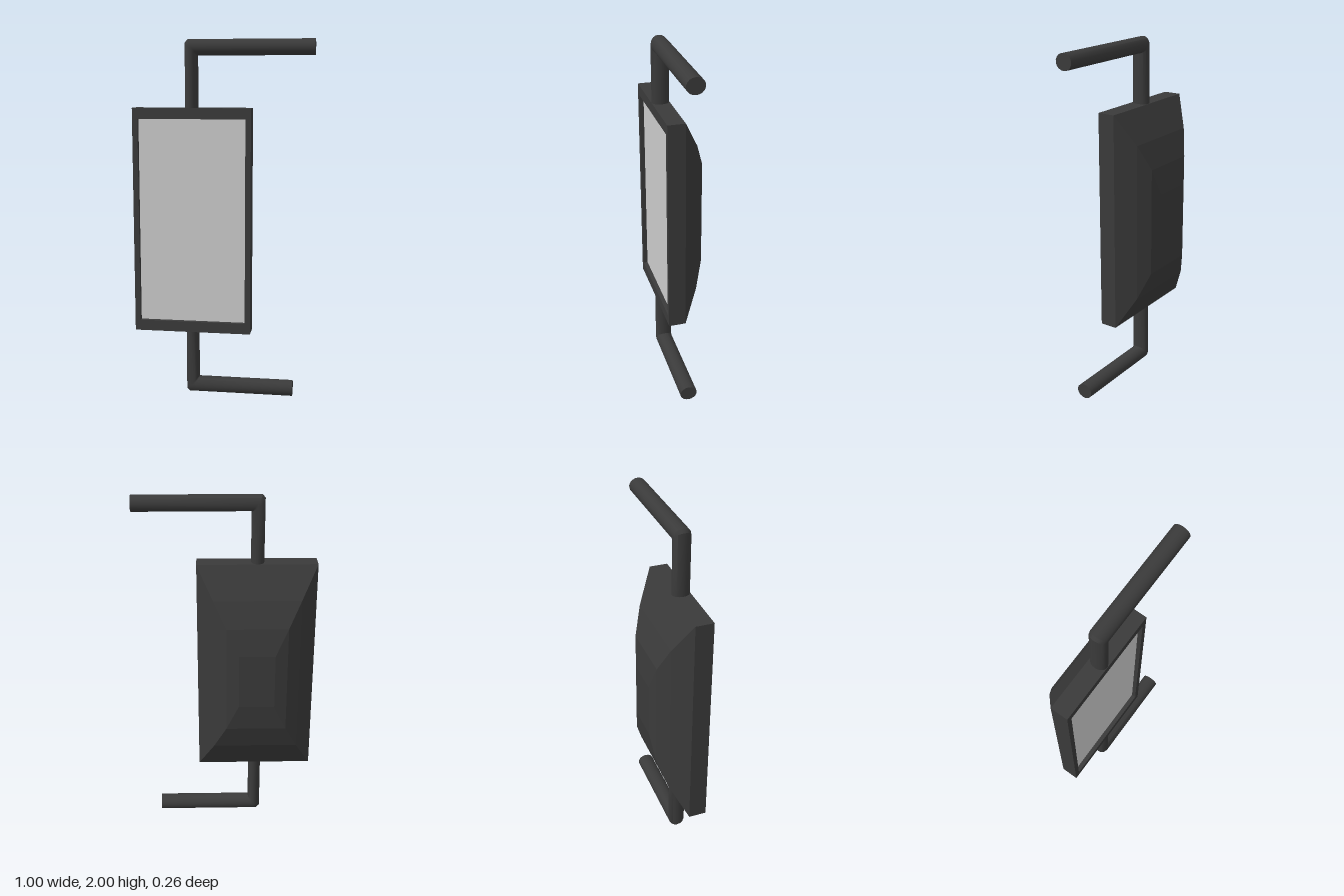
import * as THREE from 'three';
import { toCreasedNormals } from 'three/addons/utils/BufferGeometryUtils.js';

const dark = new THREE.MeshStandardMaterial({ color: 0x3a3a3a });
const grey = new THREE.MeshStandardMaterial({ color: 0xcccccc });

// Closed skin through rings of equal point count, capped at both ends
function loft(rings, crease) {
  const n = rings[0].length;
  const tris = [];
  for (let r = 0; r < rings.length - 1; r++) {
    for (let i = 0; i < n; i++) {
      const j = (i + 1) % n;
      const a = rings[r][i], b = rings[r][j], c = rings[r + 1][j], d = rings[r + 1][i];
      tris.push([a, b, c], [a, c, d]);
    }
  }
  const first = rings[0], last = rings[rings.length - 1];
  for (let i = 1; i < n - 1; i++) {
    tris.push([first[0], first[i + 1], first[i]], [last[0], last[i], last[i + 1]]);
  }
  // Turn every face outward when the enclosed volume comes out negative
  const volume = tris.reduce((s, [a, b, c]) => s + a.dot(b.clone().cross(c)), 0);
  if (volume < 0) tris.forEach((t) => t.reverse());
  const geometry = new THREE.BufferGeometry().setFromPoints(tris.flat());
  return toCreasedNormals(geometry, crease);
}

function rectRing(x0, x1, y0, y1, z) {
  return [[x0, y0], [x1, y0], [x1, y1], [x0, y1]].map(([x, y]) => new THREE.Vector3(x, y, z));
}

function rectPath(path, x0, x1, y0, y1) {
  path.moveTo(x0, y0);
  path.lineTo(x1, y0);
  path.lineTo(x1, y1);
  path.lineTo(x0, y1);
  path.closePath();
  return path;
}

// Elliptical section given by its outer and inner edge points in the xy plane
function pipeRing([ox, oy], [ix, iy], sides = 18) {
  return Array.from({ length: sides }, (_, i) => {
    const a = (i / sides) * Math.PI * 2;
    const t = (1 + Math.cos(a)) / 2;
    return new THREE.Vector3(ix + (ox - ix) * t, iy + (oy - iy) * t, 0.08 + 0.049 * Math.sin(a));
  });
}

// Mitred arm: out of the frame, round the corner, then sideways
function armGeometry(length, mirrored) {
  const y = (v) => (mirrored ? 2 - v : v);
  const sections = [
    [[-0.21, 1.6], [-0.137, 1.6]],
    [[-0.21, 1.982], [-0.137, 1.911]],
    [[-0.195, 2], [-0.135, 1.912]],
    [[length, 2], [length, 1.912]],
  ];
  return loft(sections.map(([o, i]) => pipeRing([o[0], y(o[1])], [i[0], y(i[1])])), 0.6);
}

export function createModel() {
  const group = new THREE.Group();
  const add = (name, geometry, material) => {
    const mesh = new THREE.Mesh(geometry, material);
    mesh.name = name;
    group.add(mesh);
    return mesh;
  };

  // Rim around the glass
  const outline = rectPath(new THREE.Shape(), -0.5, 0.16, 0.365, 1.63);
  outline.holes.push(rectPath(new THREE.Path(), -0.47, 0.13, 0.425, 1.57));
  const rim = new THREE.ExtrudeGeometry(outline, { depth: 0.1, bevelEnabled: false });
  add('frame', rim.translate(0, 0, 0.03), dark);

  // Recessed mirror surface
  const glass = new THREE.BoxGeometry(0.6, 1.145, 0.05);
  add('mirrorGlass', glass.translate(-0.17, 0.9975, 0.08), grey);

  // Faceted housing bulging to the back: [x inset, y inset, z]
  const steps = [[0, 0, 0.03], [0.09, 0.175, -0.06], [0.16, 0.32, -0.11], [0.23, 0.475, -0.13]];
  const shell = steps.map(([dx, dy, z]) => rectRing(-0.5 + dx, 0.16 - dx, 0.365 + dy, 1.63 - dy, z));
  add('backHousing', loft(shell, 0.01), dark);

  // Mounting arms
  add('upperArm', armGeometry(0.5, false), dark);
  add('lowerArm', armGeometry(0.4, true), dark);

  return group;
}
